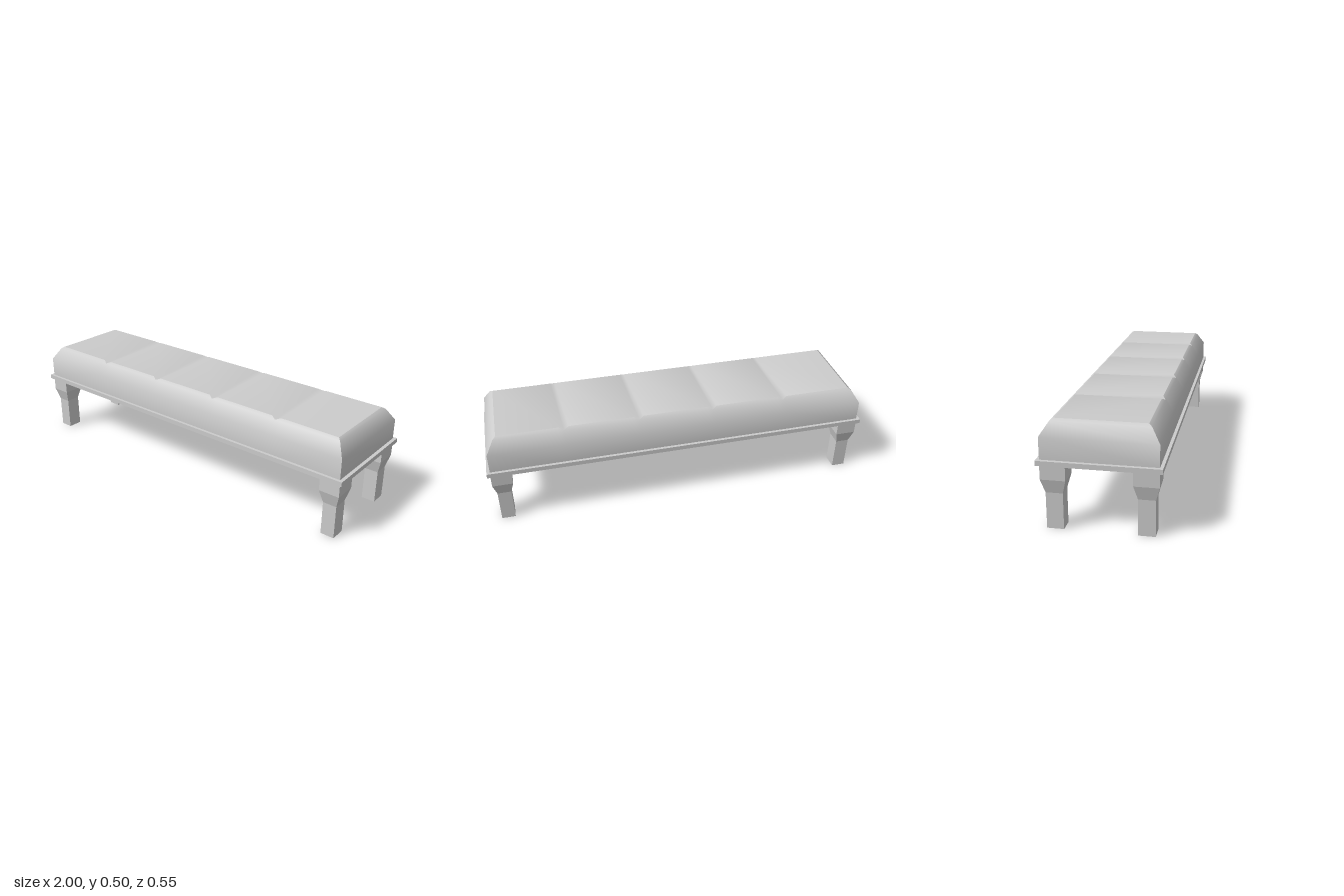
import * as THREE from 'three';
import { toCreasedNormals } from 'three/addons/utils/BufferGeometryUtils.js';

const grey = new THREE.MeshStandardMaterial({ color: 0xcccccc });
const flatGrey = new THREE.MeshStandardMaterial({ color: 0xcccccc, flatShading: true });

// Half-profile of the cushion from its base to its top: [half length, half width, height]
const PROFILE = [
  [0.983, 0.262, 0.33],
  [0.983, 0.262, 0.433],
  [0.945, 0.222, 0.495],
  [0.93, 0.207, 0.505],
];
const GROOVES = [-0.555, -0.172, 0.215, 0.597];
const GROOVE_HALF = 0.025;

// Stations along the length; the first and last follow the mitred ends
const stations = [{ end: -1 }];
for (const x of GROOVES) {
  stations.push({ x: x - GROOVE_HALF }, { x, groove: true }, { x: x + GROOVE_HALF });
}
stations.push({ end: 1 });

// Point on the cushion: station, profile level, and side (-1 back, 1 front)
function cushionPoint(station, level, side) {
  const [halfLength] = PROFILE[level];
  const [, z, y] = PROFILE[station.groove && level === 3 ? 2 : level];
  return [station.end ? station.end * halfLength : station.x, y, side * z];
}

function quadsToGeometry(quads, crease) {
  const positions = quads.flatMap(([a, b, c, d]) => [...a, ...b, ...c, ...a, ...c, ...d]);
  const geometry = new THREE.BufferGeometry();
  geometry.setAttribute('position', new THREE.Float32BufferAttribute(positions, 3));
  return toCreasedNormals(geometry, crease);
}

function createCushion() {
  const cushion = new THREE.Group();
  cushion.name = 'cushion';
  const sides = [];
  const top = [];

  // Long sides and the grooved top
  for (let i = 0; i < stations.length - 1; i++) {
    const s = stations[i];
    const t = stations[i + 1];
    for (let k = 0; k < 3; k++) {
      sides.push([cushionPoint(s, k, -1), cushionPoint(s, k + 1, -1),
        cushionPoint(t, k + 1, -1), cushionPoint(t, k, -1)]);
      sides.push([cushionPoint(s, k, 1), cushionPoint(t, k, 1),
        cushionPoint(t, k + 1, 1), cushionPoint(s, k + 1, 1)]);
    }
    top.push([cushionPoint(s, 3, -1), cushionPoint(s, 3, 1),
      cushionPoint(t, 3, 1), cushionPoint(t, 3, -1)]);
  }

  // Short ends
  for (const end of [-1, 1]) {
    for (let k = 0; k < 3; k++) {
      const s = { end };
      sides.push([cushionPoint(s, k, -end), cushionPoint(s, k + 1, -end),
        cushionPoint(s, k + 1, end), cushionPoint(s, k, end)].map((p) => p));
      if (end === -1) continue;
    }
  }

  const sideMesh = new THREE.Mesh(quadsToGeometry(sides, 0.62), grey);
  sideMesh.name = 'cushionSides';
  const topMesh = new THREE.Mesh(quadsToGeometry(top, 1), grey);
  topMesh.name = 'cushionTop';
  cushion.add(sideMesh, topMesh);
  return cushion;
}

// Square leg with a wide head tapering into a narrower post
function createLegGeometry() {
  const rows = [[0.307, 0.052, 0.057], [0.238, 0.052, 0.057], [0.172, 0.035, 0.039], [0, 0.035, 0.039]];
  const geometry = new THREE.BoxGeometry(2, 3, 2, 1, 3, 1);
  const p = geometry.attributes.position;
  for (let i = 0; i < p.count; i++) {
    const [y, halfX, halfZ] = rows[Math.round(1.5 - p.getY(i))];
    p.setXYZ(i, p.getX(i) * halfX, y, p.getZ(i) * halfZ);
  }
  geometry.computeVertexNormals();
  return geometry;
}

export function createModel() {
  const bench = new THREE.Group();
  bench.name = 'bench';

  // Thin board under the cushion
  const board = new THREE.Mesh(new THREE.BoxGeometry(2, 0.023, 0.554), grey);
  board.name = 'seatBoard';
  board.position.y = 0.3185;
  bench.add(board, createCushion());

  // Four corner legs
  const legGeometry = createLegGeometry();
  for (const x of [-1, 1]) {
    for (const z of [-1, 1]) {
      const leg = new THREE.Mesh(legGeometry, flatGrey);
      leg.name = `${z > 0 ? 'front' : 'back'}${x > 0 ? 'Left' : 'Right'}Leg`;
      leg.position.set(x * 0.933, 0, z * 0.205);
      bench.add(leg);
    }
  }
  return bench;
}
